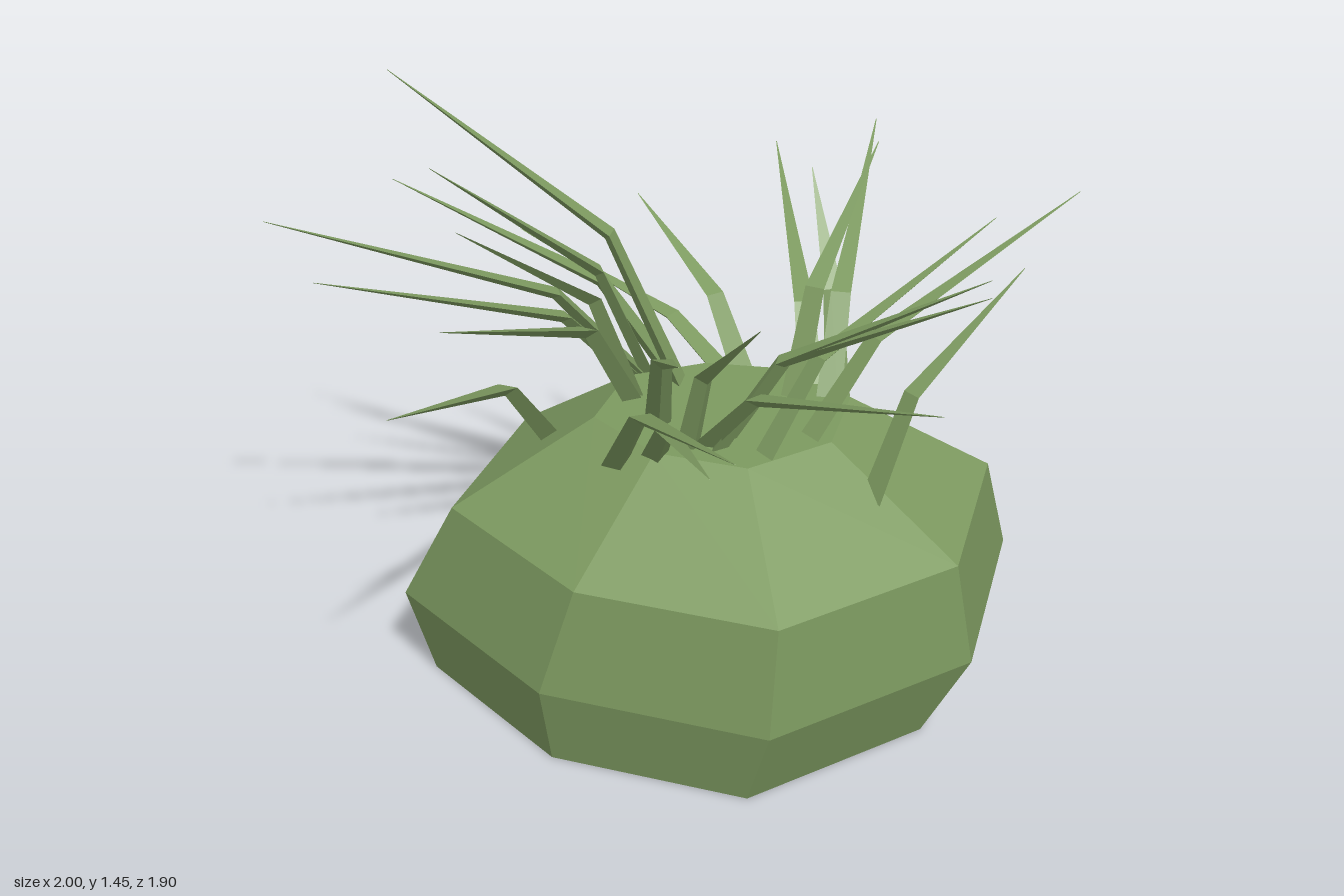
import * as THREE from 'three';

const material = new THREE.MeshStandardMaterial({ color: 0x7d9a60, flatShading: true, roughness: 1 });

// Faceted skin over equal-length rings of [x, y, z], closed at both ends
function loft(rings) {
  const n = rings[0].length, last = (rings.length - 1) * n, index = [];
  for (let r = 0; r < last; r += n) {
    for (let i = 0; i < n; i++) {
      const a = r + i, b = r + (i + 1) % n;
      index.push(a, a + n, b + n, a, b + n, b);
    }
  }
  for (let i = 1; i < n - 1; i++) {
    index.push(0, i, i + 1, last, last + i + 1, last + i);
  }
  const indexed = new THREE.BufferGeometry();
  indexed.setAttribute('position', new THREE.Float32BufferAttribute(rings.flat(2), 3));
  indexed.setIndex(index);
  const geometry = indexed.toNonIndexed();
  geometry.computeVertexNormals();
  return geometry;
}

function addMesh(parent, name, geometry) {
  const mesh = new THREE.Mesh(geometry, material);
  mesh.name = name;
  parent.add(mesh);
}

// Widest outline of the body, seen from above
const outline = [
  [0.04, -0.715], [0.5, -0.56], [0.82, -0.115], [0.585, 0.42],
  [0.05, 0.65], [-0.445, 0.38], [-0.73, -0.115], [-0.47, -0.62],
];
// Body levels: height, scale of the outline, shift in x and z
const levels = [
  [0, 0.87, -0.03, 0.015], [0.21, 1, 0, 0], [0.48, 0.87, 0.03, 0.05], [0.69, 0.41, 0.05, -0.02],
];

// Blades: root x, y, z then tip x, y, z
const blades = [
  // left of the model
  [0.22, 0.66, 0.13, 1.0, 1.12, -0.25],
  [0.36, 0.59, 0.27, 0.77, 1.06, 0.05],
  [0.1, 0.66, 0.2, 0.74, 1.13, -0.1],
  [0.03, 0.67, 0.07, 0.58, 1.16, 0.41],
  [0.0, 0.67, 0.12, 0.6, 1.17, 0.34],
  // back left
  [0.32, 0.64, -0.04, 0.6, 1.15, -0.76],
  [0.3, 0.64, -0.1, 0.37, 1.03, -0.95],
  [0.39, 0.61, -0.22, 0.365, 1.14, -0.47],
  [0.24, 0.67, -0.08, 0.54, 1.19, -0.49],
  // back
  [0.16, 0.66, -0.32, -0.04, 0.98, -0.76],
  [0.12, 0.65, -0.33, -0.35, 0.88, -0.81],
  [0.0, 0.62, -0.41, -0.68, 1.09, -0.69],
  // right of the model
  [0.0, 0.67, -0.22, -0.68, 1.45, -0.49],
  [-0.06, 0.62, -0.38, -1.0, 1.14, -0.34],
  [-0.08, 0.63, -0.36, -0.89, 1.07, -0.12],
  [-0.05, 0.62, -0.37, -0.6, 1.25, -0.34],
  // front right
  [-0.36, 0.61, -0.18, -0.75, 1.01, 0.48],
  [-0.14, 0.67, -0.18, -0.63, 1.22, 0.51],
  [-0.13, 0.67, -0.19, -0.57, 1.3, 0.18],
  // front
  [-0.1, 0.67, -0.03, -0.16, 1.19, 0.69],
  [-0.22, 0.64, 0.08, -0.09, 1.1, 0.95],
  [-0.13, 0.66, 0.1, -0.11, 0.97, 0.77],
  [-0.02, 0.67, 0.08, 0.38, 1.07, 0.77],
  [-0.05, 0.67, 0.1, 0.06, 1.13, 0.43],
];

// Bent triangular blade: steep at the root, then leaning out to a point
function bladeGeometry([x0, y0, z0, x1, y1, z1]) {
  const run = Math.hypot(x1 - x0, z1 - z0);
  const hx = (x1 - x0) / run, hz = (z1 - z0) / run;
  const section = (along, rise, width) => {
    const x = x0 + (x1 - x0) * along, y = y0 + (y1 - y0) * rise, z = z0 + (z1 - z0) * along;
    const w = width / 2, d = width * 0.35;
    return [
      [x + hz * w, y, z - hx * w],
      [x + hx * d, y - d, z + hz * d],
      [x - hz * w, y, z + hx * w],
    ];
  };
  return loft([section(0, 0, 0.066), section(0.25, 0.52, 0.05), section(1, 1, 0.002)]);
}

export function createModel() {
  const model = new THREE.Group();
  model.name = 'grassTuft';
  addMesh(model, 'body', loft(levels.map(([y, s, dx, dz]) =>
    outline.map(([x, z]) => [x * s + dx, y, z * s + dz]))));

  const grass = new THREE.Group();
  grass.name = 'grassBlades';
  blades.forEach((blade) => addMesh(grass, 'blade', bladeGeometry(blade)));
  model.add(grass);
  return model;
}
